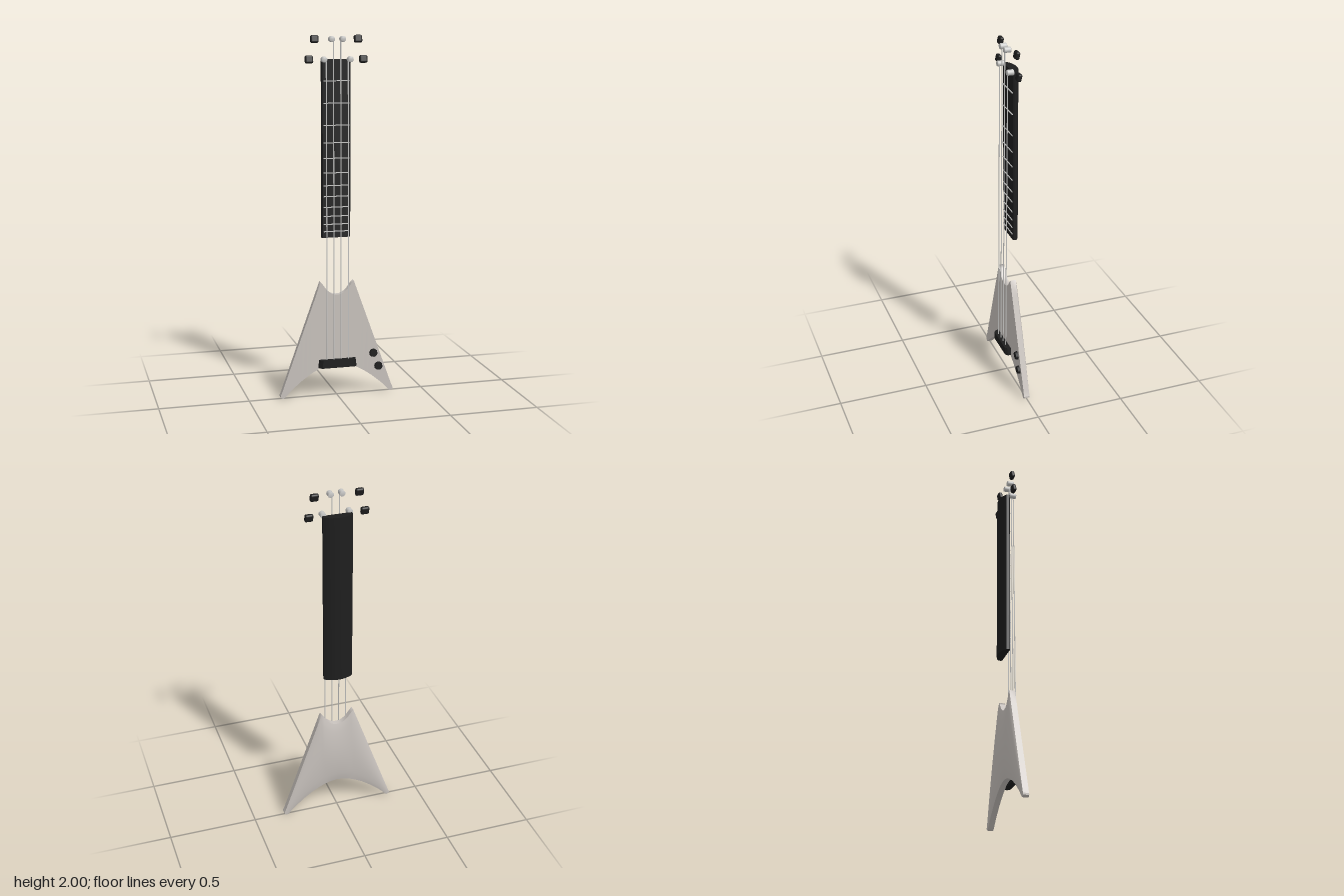
import * as THREE from 'three';
import { mergeGeometries } from 'three/addons/utils/BufferGeometryUtils.js';
import { RoundedBoxGeometry } from 'three/addons/geometries/RoundedBoxGeometry.js';

const mat = (name, color) => {
  const m = new THREE.MeshStandardMaterial({ color });
  m.name = name;
  return m;
};

// Linear interpolation through [x, y] points sorted by x
function lerpTable(points, x) {
  for (let i = 1; i < points.length; i++) {
    const [x0, y0] = points[i - 1], [x1, y1] = points[i];
    if (x <= x1) return y0 + ((y1 - y0) * (x - x0)) / (x1 - x0);
  }
  return points[points.length - 1][1];
}

// Sheet whose vertices follow rule(column, v) -> [x, y, z]
function sheet(columns, rows, rule) {
  const g = new THREE.PlaneGeometry(1, 1, columns, rows);
  const p = g.attributes.position;
  for (let i = 0; i < p.count; i++) {
    const c = Math.round((p.getX(i) + 0.5) * columns);
    p.setXYZ(i, ...rule(c, p.getY(i) + 0.5));
  }
  g.computeVertexNormals();
  return g;
}

// Winged body: flat front, domed back, upright walls
function bodyGeometry() {
  const upper = [[0, 0.58], [0.02, 0.582], [0.04, 0.592], [0.06, 0.61], [0.08, 0.638], [0.095, 0.655], [0.318, 0.035], [0.325, 0.02]];
  const lower = [[0, 0.187], [0.05, 0.181], [0.1, 0.162], [0.15, 0.135], [0.2, 0.1], [0.26, 0.05], [0.3, 0.008], [0.312, 0], [0.325, 0.01]];
  const half = [0, 0.02, 0.04, 0.06, 0.08, 0.095, 0.125, 0.15, 0.175, 0.2, 0.23, 0.26, 0.28, 0.3, 0.312, 0.318, 0.325];
  const xs = [...half.slice(1).reverse().map((x) => -x), ...half];
  const n = xs.length - 1;
  const top = (x) => lerpTable(upper, Math.abs(x));
  const bottom = (x) => lerpTable(lower, Math.abs(x));
  const front = 0.017;
  const back = (x, v) => -0.015 - 0.021 * (1 - (x / 0.325) ** 2) * Math.max(0, Math.sin(Math.PI * v)) ** 0.75;
  const height = (x, v) => bottom(x) + (top(x) - bottom(x)) * v;
  const end = (s) => sheet(1, 1, (c, v) => {
    const x = 0.325 * s;
    return [x, height(x, v), c === (s > 0 ? 0 : 1) ? front : -0.015];
  });
  return mergeGeometries([
    sheet(n, 1, (c, v) => [xs[c], height(xs[c], v), front]),
    sheet(n, 16, (c, v) => [xs[n - c], height(xs[n - c], v), back(xs[n - c], v)]),
    sheet(n, 1, (c, v) => [xs[c], top(xs[c]), v ? -0.015 : front]),
    sheet(n, 1, (c, v) => [xs[c], bottom(xs[c]), v ? front : -0.015]),
    end(1), end(-1),
  ]);
}

// Upright bar from a cross-section of [x, z] points
function bar(points, y0, y1) {
  const shape = new THREE.Shape(points.map(([x, z]) => new THREE.Vector2(x, -z)));
  const g = new THREE.ExtrudeGeometry(shape, { depth: y1 - y0, bevelEnabled: false });
  return g.rotateX(-Math.PI / 2).translate(0, y0, 0);
}

export function createModel() {
  const shell = mat('warm grey', 0xc9c3be);
  const black = mat('black', 0x1e1e1e);
  const metal = mat('silver', 0xc8c8c6);
  const model = new THREE.Group();
  const add = (name, geometry, material, x = 0, y = 0, z = 0) => {
    const m = new THREE.Mesh(geometry, material);
    m.name = name;
    m.position.set(x, y, z);
    model.add(m);
    return m;
  };

  add('body', bodyGeometry(), shell);

  // Neck with a rounded back
  const section = [[-0.076, -0.004], [0.076, -0.004], [0.081, -0.01], [0.081, -0.026]];
  for (let i = 1; i < 12; i++) {
    const x = 0.081 - (0.162 * i) / 12;
    section.push([x, -0.027 - 0.025 * (1 - (x / 0.081) ** 2)]);
  }
  section.push([-0.081, -0.026], [-0.081, -0.01]);
  add('neck', bar(section, 0.9, 1.875), black);

  // Frets
  const fretGeometry = new THREE.BoxGeometry(0.144, 0.005, 0.005);
  for (const y of [1.76, 1.64, 1.52, 1.425, 1.34, 1.26, 1.19, 1.13, 1.07, 1.02, 0.975, 0.935])
    add('fret', fretGeometry, metal, 0, y, -0.0025);

  // Bridge with chamfered ends
  const bridge = bar([[-0.11, 0.016], [0.11, 0.016], [0.107, 0.036], [0.092, 0.048], [-0.092, 0.048], [-0.107, 0.036]], 0.168, 0.212);
  const bp = bridge.attributes.position;
  for (let i = 0; i < bp.count; i++) if (bp.getY(i) > 0.2) bp.setX(i, bp.getX(i) * 0.95);
  bridge.computeVertexNormals();
  add('bridge', bridge, black);

  // Control knobs
  const knob = new THREE.CylinderGeometry(0.021, 0.024, 0.014, 12).rotateX(Math.PI / 2);
  add('controlKnob', knob, black, 0.21, 0.23, 0.024);
  add('controlKnob', knob, black, 0.24, 0.152, 0.024);

  // Strings, tilted slightly toward the tuners
  [[-0.062, 1.875], [-0.022, 1.985], [0.018, 1.985], [0.06, 1.875]].forEach(([x, y]) => {
    const path = new THREE.LineCurve3(new THREE.Vector3(x, 0.2, 0.032), new THREE.Vector3(x, y, 0.02));
    add('string', new THREE.TubeGeometry(path, 1, 0.003, 8), metal);
  });

  // Tuner posts and pegs, mirrored
  const post = new THREE.LatheGeometry(
    [[0, -0.019], [0.014, -0.019], [0.016, -0.015], [0.0145, 0], [0.016, 0.014], [0.013, 0.019], [0, 0.019]].map(([r, h]) => new THREE.Vector2(r, h)), 16
  ).rotateX(Math.PI / 2);
  const peg = new RoundedBoxGeometry(0.046, 0.042, 0.024, 2, 0.01);
  for (const s of [-1, 1])
    for (const [postX, pegX, y] of [[0.031, 0.121, 1.983], [0.073, 0.151, 1.875]]) {
      add('tunerPost', post, metal, s * postX, y, 0.012);
      add('tunerPeg', peg, black, s * pegX, y, -0.006).rotation.x = -0.2;
    }

  return model;
}
